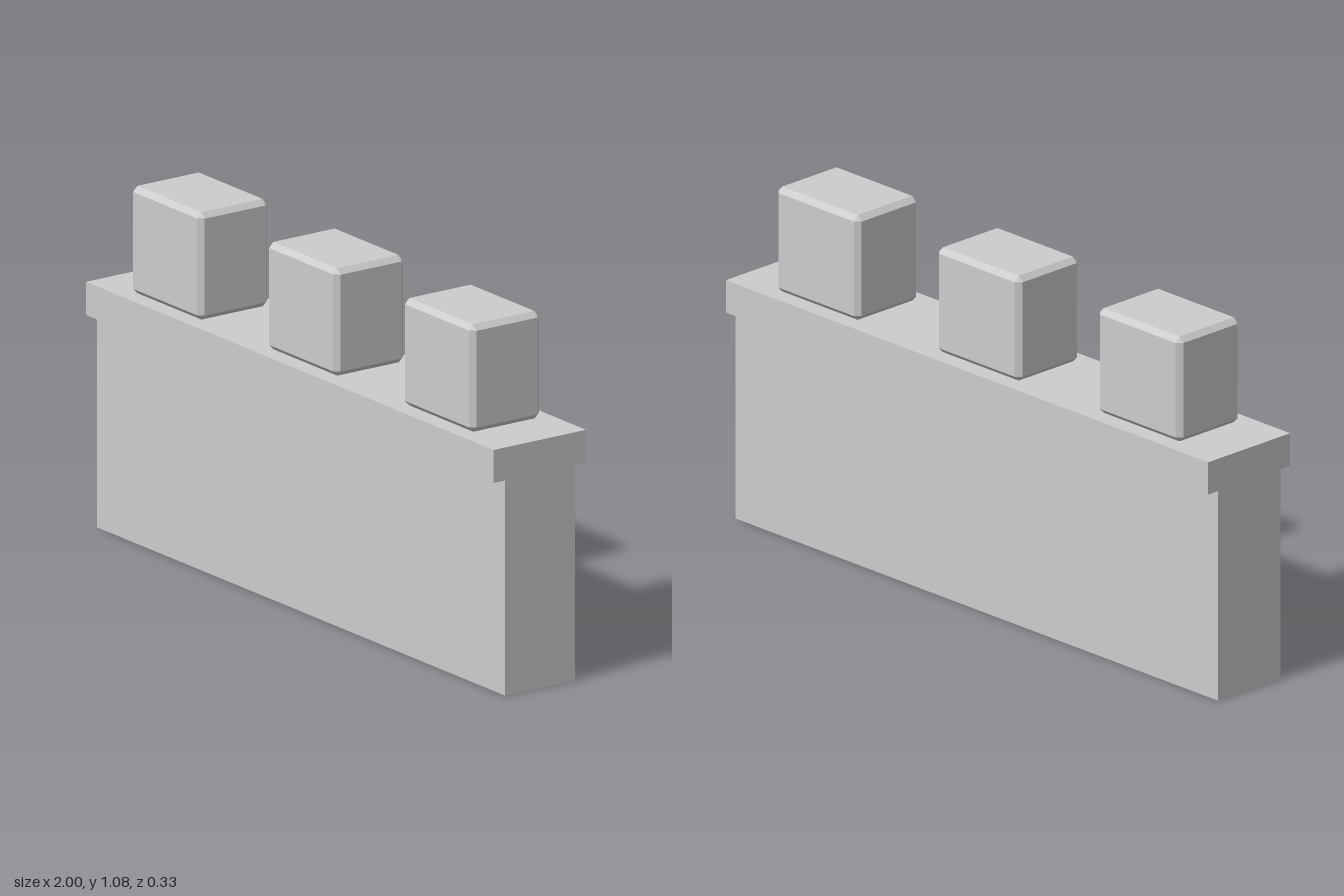
import * as THREE from 'three';
import { ConvexGeometry } from 'three/addons/geometries/ConvexGeometry.js';

// Box with every edge and corner cut by a flat chamfer
function chamferedBox(w, h, d, c) {
  const half = [w / 2, h / 2, d / 2];
  const points = [];
  for (const sx of [-1, 1]) for (const sy of [-1, 1]) for (const sz of [-1, 1]) {
    for (let full = 0; full < 3; full++) {
      const [x, y, z] = half.map((v, axis) => (axis === full ? v : v - c));
      points.push(new THREE.Vector3(sx * x, sy * y, sz * z));
    }
  }
  return new ConvexGeometry(points);
}

export function createModel() {
  const group = new THREE.Group();
  group.name = 'battlementWall';
  const stone = new THREE.MeshStandardMaterial({ color: 0xcccccc });
  stone.name = 'greyStone';

  // Wall with overhanging ledge: a T profile swept along x
  const profile = new THREE.Shape([
    [-0.125, 0], [0.125, 0], [0.125, 0.65], [0.165, 0.65],
    [0.165, 0.75], [-0.165, 0.75], [-0.165, 0.65], [-0.125, 0.65],
  ].map(([x, y]) => new THREE.Vector2(x, y)));
  const wallGeometry = new THREE.ExtrudeGeometry(profile, { depth: 2, bevelEnabled: false });
  wallGeometry.translate(0, 0, -1).rotateY(Math.PI / 2);
  const wall = new THREE.Mesh(wallGeometry, stone);
  wall.name = 'wallWithLedge';
  group.add(wall);

  // Three chamfered merlons along the top
  const merlonGeometry = chamferedBox(0.345, 0.325, 0.25, 0.016);
  ['right', 'middle', 'left'].forEach((side, i) => {
    const merlon = new THREE.Mesh(merlonGeometry, stone);
    merlon.name = side + 'Merlon';
    merlon.position.set((i - 1) * 0.667, 0.75 + 0.325 / 2, 0);
    group.add(merlon);
  });
  return group;
}
